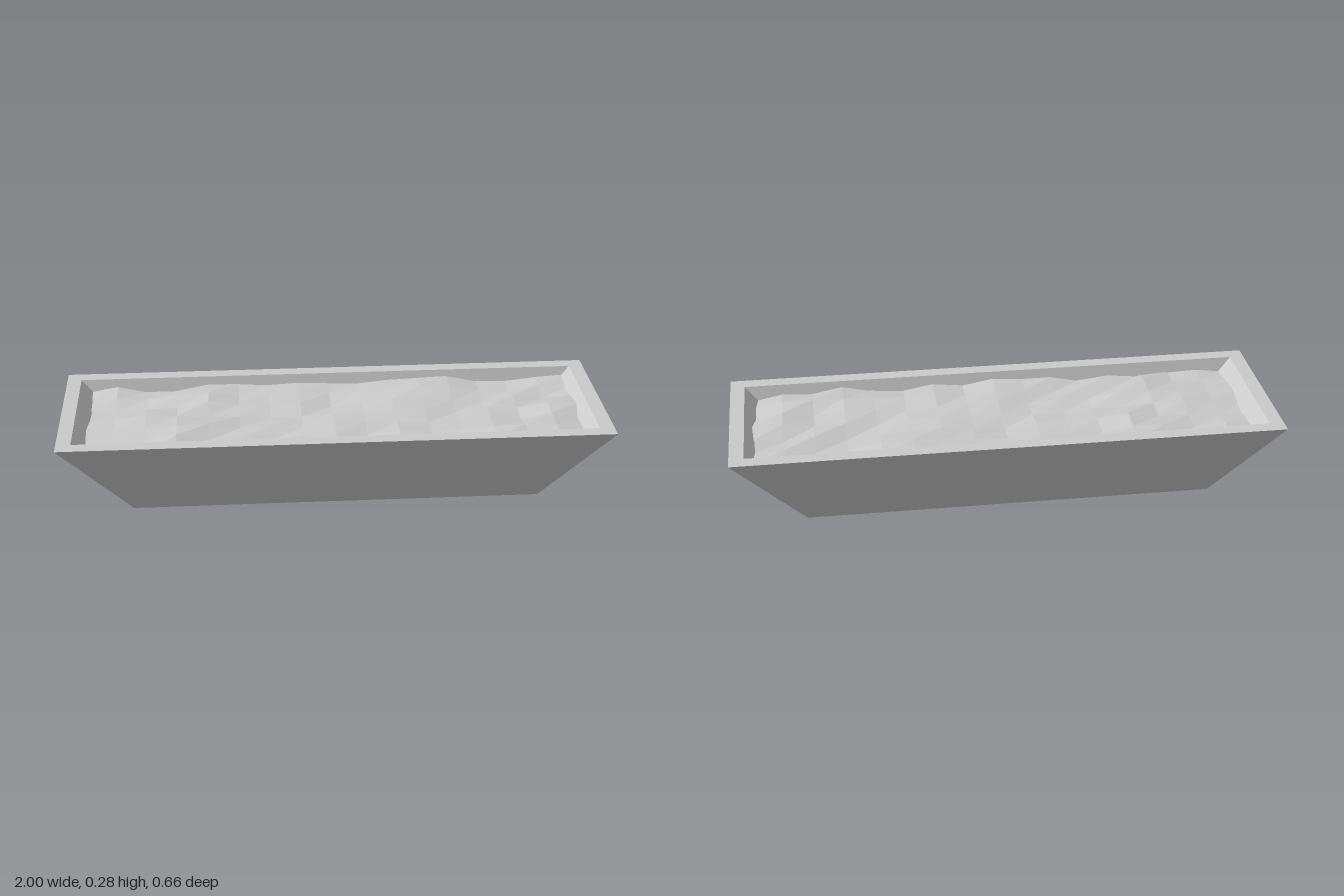
import * as THREE from 'three';

const CORNERS = [[1, 1], [1, -1], [-1, -1], [-1, 1]];

function makeMesh(name, geo) {
  geo.computeVertexNormals();
  const mesh = new THREE.Mesh(geo, new THREE.MeshStandardMaterial({
    color: 0xcccccc, flatShading: true, side: THREE.DoubleSide,
  }));
  mesh.name = name;
  return mesh;
}

// Four flat quads joining one rectangle (half width, height, half depth) to the next
function band(name, from, to) {
  const at = ([x, y, z], i) => [CORNERS[i % 4][0] * x, y, CORNERS[i % 4][1] * z];
  const pos = [];
  for (let i = 0; i < 4; i++) {
    const a = at(from, i), b = at(from, i + 1), c = at(to, i + 1), d = at(to, i);
    pos.push(...a, ...b, ...c, ...a, ...c, ...d);
  }
  const geo = new THREE.BufferGeometry();
  geo.setAttribute('position', new THREE.Float32BufferAttribute(pos, 3));
  return makeMesh(name, geo);
}

// Uneven faceted earth surface
function makeSoil() {
  let seed = 7;
  const random = () => (seed = (seed * 16807) % 2147483647) / 2147483647;
  const geo = new THREE.PlaneGeometry(1.85, 0.54, 16, 6).rotateX(-Math.PI / 2);
  const p = geo.attributes.position;
  for (let i = 0; i < p.count; i++) {
    p.setY(i, 0.242 + 0.007 * Math.sin(p.getX(i) * 9 + p.getZ(i) * 7) + (random() - 0.5) * 0.028);
  }
  return makeMesh('soil', geo);
}

export function createModel() {
  const model = new THREE.Group();
  model.name = 'planterBox';
  const outerBottom = [0.74, 0, 0.242];
  const outerTop = [1, 0.281, 0.328];
  const innerTop = [0.947, 0.281, 0.275];
  const innerBottom = [0.705, 0.02, 0.195];

  // Flared trough, open underneath
  model.add(
    band('outerWalls', outerBottom, outerTop),
    band('rim', outerTop, innerTop),
    band('innerWalls', innerTop, innerBottom),
    makeSoil(),
  );
  return model;
}
